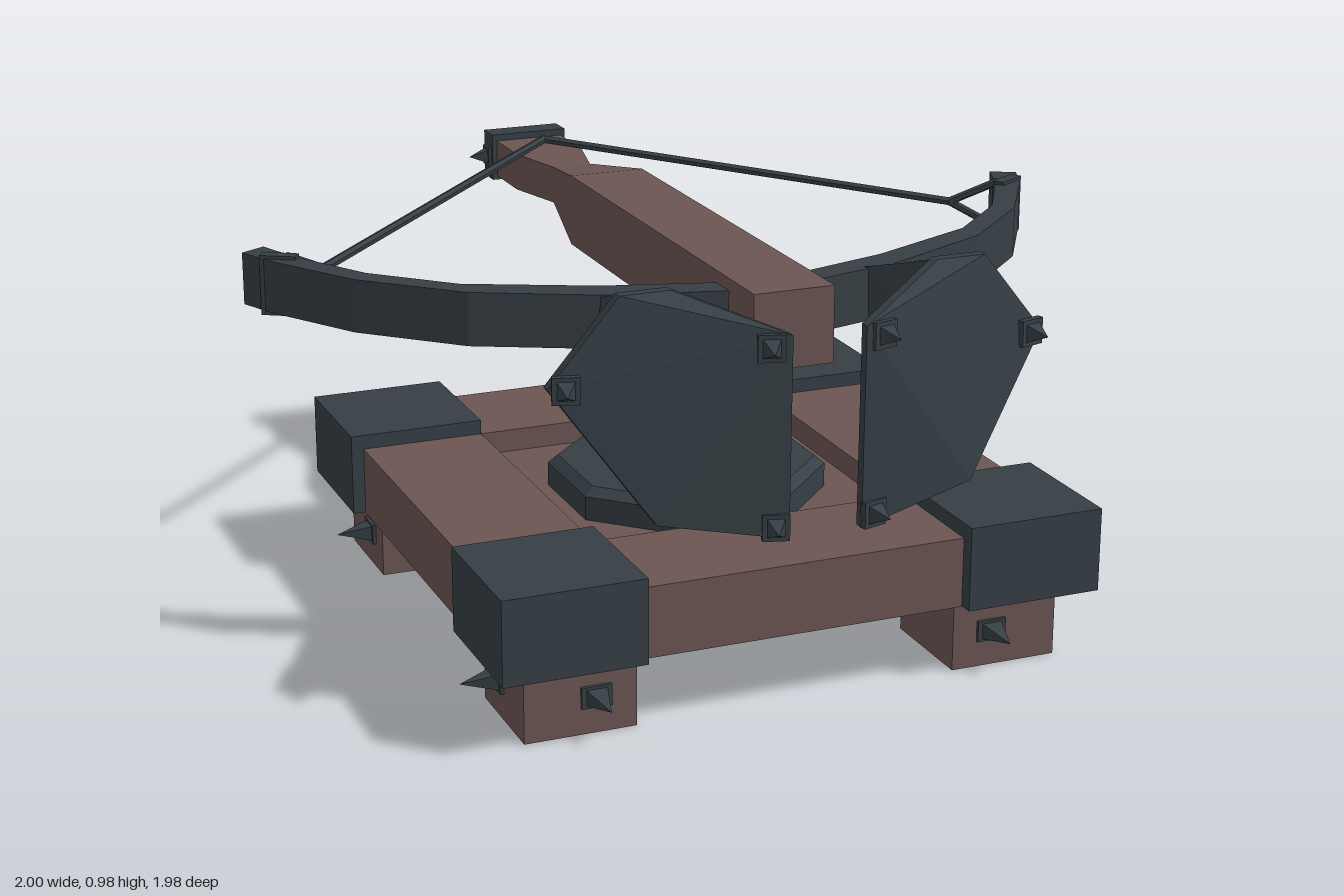
import * as THREE from 'three';
import { ConvexGeometry } from 'three/addons/geometries/ConvexGeometry.js';

export function createModel() {
  const root = new THREE.Group();
  const wood = new THREE.MeshStandardMaterial({ color: 0x6b5553, flatShading: true });
  wood.name = 'wood';
  const iron = new THREE.MeshStandardMaterial({ color: 0x363f45, flatShading: true });
  iron.name = 'iron';

  const add = (name, geo, mat) => {
    const m = new THREE.Mesh(geo, mat);
    m.name = name;
    root.add(m);
    return m;
  };
  // Box given by its extents
  const box = (name, mat, x0, x1, y0, y1, z0, z1) => {
    const m = add(name, new THREE.BoxGeometry(Math.abs(x1 - x0), y1 - y0, Math.abs(z1 - z0)), mat);
    m.position.set((x0 + x1) / 2, (y0 + y1) / 2, (z0 + z1) / 2);
    return m;
  };
  // Plan outline (x, z) raised from y0 to y1
  const slab = (name, mat, pts, y0, y1, hole) => {
    const toVec = (p) => new THREE.Vector2(p[0], p[1]);
    const shape = new THREE.Shape(pts.map(toVec));
    if (hole) shape.holes.push(new THREE.Path(hole.map(toVec)));
    const geo = new THREE.ExtrudeGeometry(shape, { depth: y1 - y0, bevelEnabled: false });
    geo.rotateX(Math.PI / 2).translate(0, y1, 0);
    return add(name, geo, mat);
  };
  const hull = (name, mat, pts) =>
    add(name, new ConvexGeometry(pts.map((p) => new THREE.Vector3(...p))), mat);
  // Four-sided spike pointing along a heading (0 = front), on a thin plate
  const spike = (name, x, y, z, heading, w, h, len) => {
    const g = new THREE.Group();
    g.name = name;
    const plate = new THREE.Mesh(new THREE.BoxGeometry(w, h, 0.016), iron);
    plate.name = 'spikePlate';
    const cone = new THREE.Mesh(
      new THREE.ConeGeometry(Math.SQRT1_2, 1, 4).rotateY(Math.PI / 4)
        .scale(w * 0.75, len, h * 0.8).translate(0, len / 2, 0).rotateX(Math.PI / 2), iron);
    cone.name = 'spikePoint';
    g.add(plate, cone);
    g.position.set(x, y, z);
    g.rotation.y = heading;
    root.add(g);
  };
  // Thin rod between two points
  const rod = (name, a, b, r) => {
    const va = new THREE.Vector3(...a), d = new THREE.Vector3(...b).sub(va);
    const m = add(name, new THREE.CylinderGeometry(r, r, d.length(), 6), iron);
    m.position.copy(va).addScaledVector(d, 0.5);
    m.quaternion.setFromUnitVectors(new THREE.Vector3(0, 1, 0), d.normalize());
  };
  const rect = (x, z0, z1) => [[-x, z0], [x, z0], [x, z1], [-x, z1]];

  // Base frame with a sunken floor
  slab('baseFrame', wood, rect(0.685, -0.52, 0.85), 0.17, 0.335, rect(0.385, -0.22, 0.555));
  box('baseFloor', wood, -0.386, 0.386, 0.17, 0.28, -0.221, 0.556);

  // Octagonal turntable and post
  const oct = (name, mat, a0, a1, y0, y1) => {
    const k = 1 / Math.cos(Math.PI / 8);
    const geo = new THREE.CylinderGeometry(a1 * k, a0 * k, y1 - y0, 8).rotateY(Math.PI / 8);
    add(name, geo, mat).position.set(0, (y0 + y1) / 2, 0.167);
  };
  oct('turntable', iron, 0.305, 0.305, 0.27, 0.337);
  oct('turntableBevel', iron, 0.305, 0.283, 0.337, 0.357);
  oct('post', wood, 0.072, 0.072, 0.35, 0.77);

  // Stock: straight, then waisted towards the rear
  const sections = [ // z, half width, bottom, top
    [-0.94, 0.09, 0.795, 0.89], [-0.77, 0.09, 0.795, 0.89], [-0.6, 0.05, 0.797, 0.89],
    [-0.35, 0.095, 0.755, 0.93], [0.765, 0.095, 0.755, 0.93]];
  const stock = new THREE.BoxGeometry(2, 1, 4, 1, 1, 4);
  const p = stock.attributes.position;
  for (let i = 0; i < p.count; i++) {
    const [z, w, lo, hi] = sections[Math.round(p.getZ(i) + 2)];
    p.setXYZ(i, p.getX(i) * w, p.getY(i) > 0 ? hi : lo, z);
  }
  const flatStock = stock.toNonIndexed();
  flatStock.computeVertexNormals();
  add('stock', flatStock, wood);
  box('stockEndCap', iron, -0.102, 0.102, 0.785, 0.907, -0.995, -0.928);

  for (const s of [-1, 1]) {
    const mx = (pts) => pts.map(([x, ...r]) => [s * x, ...r]);

    // Corner caps, feet and foot spikes
    for (const [zi, zFoot, zCap, f] of [[0.555, 0.815, 0.885, 1], [-0.22, -0.475, -0.55, -1]]) {
      box('cornerCap', iron, s * 0.385, s * 0.715, 0.172, 0.37, zi, zCap);
      box('foot', wood, s * 0.385, s * 0.645, 0, 0.172, zi, zFoot);
      spike('footSpike', s * 0.48, 0.087, zFoot, f > 0 ? 0 : Math.PI, 0.07, 0.05, 0.095);
      spike('footSpike', s * 0.645, 0.087, f > 0 ? 0.65 : -0.31, s * Math.PI / 2, 0.07, 0.05, 0.09);
    }
    spike('endCapSpike', s * 0.102, 0.845, -0.96, s * Math.PI / 2, 0.045, 0.05, 0.055);

    // Bow limb and its end collar
    slab('bowLimb', iron, mx([
      [0.05, 0.57], [0.1, 0.56], [0.34, 0.49], [0.62, 0.36], [0.785, 0.2], [0.897, 0.01], [0.94, -0.098],
      [0.998, -0.066], [0.955, 0.03], [0.825, 0.24], [0.625, 0.43], [0.35, 0.565], [0.1, 0.63], [0.05, 0.635],
    ]), 0.78, 0.902);
    const collar = add('limbCollar', new THREE.BoxGeometry(0.085, 0.14, 0.03), iron);
    collar.position.set(s * 0.931, 0.84, 0.008);
    collar.rotation.y = s * 0.53;

    // Bowstring with a forked end
    const fork = [s * 0.81, 0.845, -0.065];
    rod('bowstring', [0, 0.913, -0.81], fork, 0.011);
    rod('stringFork', fork, [s * 0.91, 0.9, -0.005], 0.01);
    rod('stringFork', fork, [s * 0.91, 0.785, -0.005], 0.01);

    // Shield bracket widening forwards from the limb
    hull('shieldBracket', iron, mx([
      [0.26, 0.78, 0.55], [0.37, 0.78, 0.55], [0.26, 0.902, 0.57], [0.37, 0.902, 0.57],
      [0.31, 0.77, 0.86], [0.42, 0.77, 0.83], [0.31, 0.975, 0.81], [0.42, 0.975, 0.81]]));

    // Angled shield plate
    const face = [[0.085, 0.89, 0.945], [0.085, 0.435, 0.94], [0.37, 0.49, 0.895],
      [0.58, 0.79, 0.81], [0.425, 0.98, 0.825], [0.31, 0.98, 0.825]];
    hull('shield', iron, mx([...face, ...face.map(([x, y, z]) => [x, y, z - 0.025])]));
    for (const [x, y, z] of [[0.13, 0.865, 0.935], [0.115, 0.465, 0.935], [0.545, 0.79, 0.825]])
      spike('shieldSpike', s * x, y, z, s * 0.28, 0.06, 0.06, 0.055);
  }
  return root;
}
